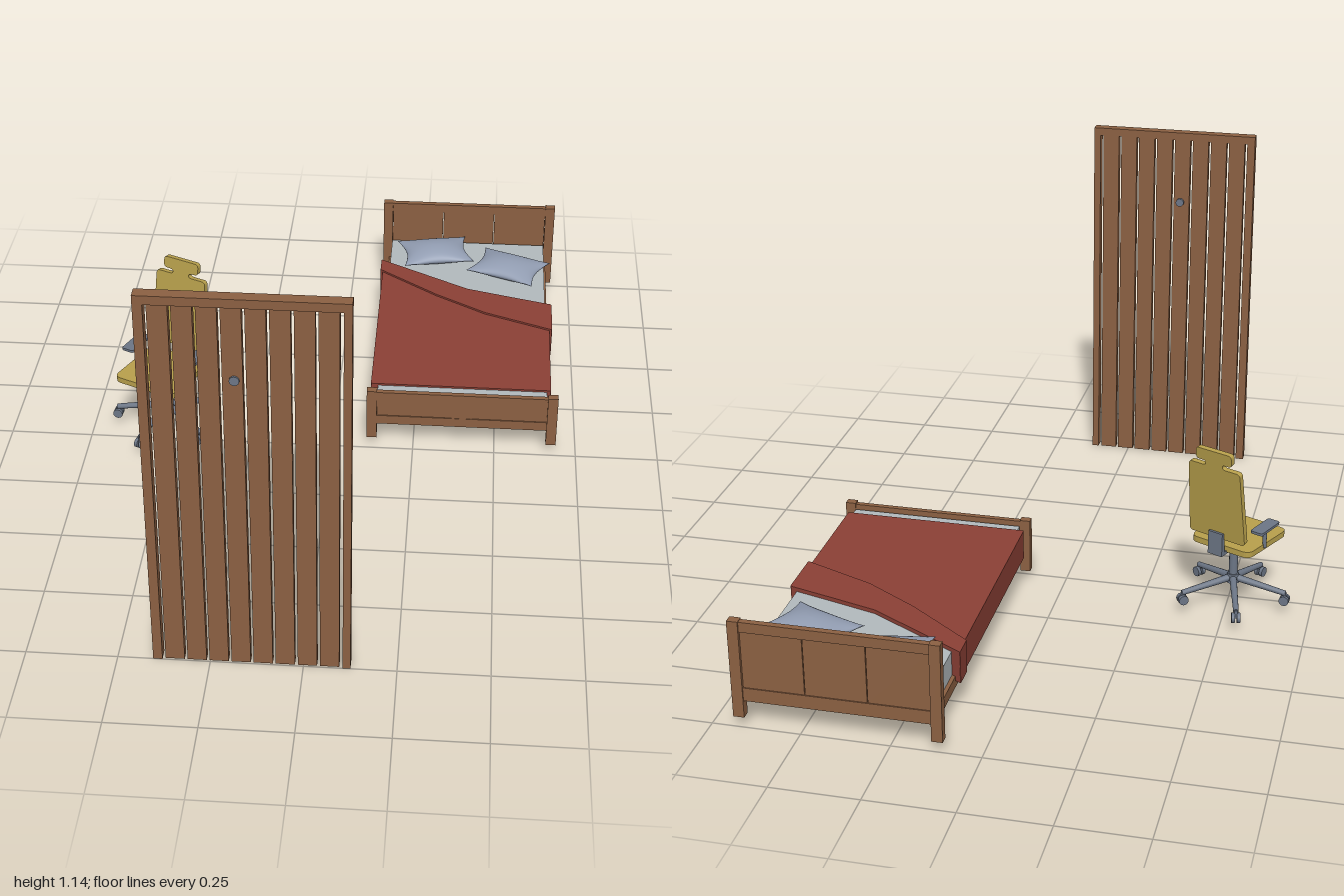
import * as THREE from 'three';

const mat = (name, color) => {
  const m = new THREE.MeshStandardMaterial({ color });
  m.name = name;
  return m;
};

export function createModel() {
  const wood = mat('wood', 0x8b6042);
  const red = mat('red blanket', 0x8b4035);
  const yellow = mat('yellow upholstery', 0xb8a04c);
  const white = mat('pale mattress', 0xb2babd);
  const grey = mat('pillow blue grey', 0x929db2);
  const metal = mat('grey metal', 0x6c7686);

  const model = new THREE.Group();
  const group = (name, parent = model) => {
    const g = new THREE.Group();
    g.name = name;
    parent.add(g);
    return g;
  };
  const add = (parent, name, geo, material) => {
    const m = new THREE.Mesh(geo, material);
    m.name = name;
    parent.add(m);
    return m;
  };
  // box given by its lower and upper limits
  const box = (parent, name, material, x0, x1, y0, y1, z0, z1) => {
    const m = add(parent, name, new THREE.BoxGeometry(x1 - x0, y1 - y0, z1 - z0), material);
    m.position.set((x0 + x1) / 2, (y0 + y1) / 2, (z0 + z1) / 2);
  };
  // closed outline with rounded corners
  const rounded = (pts, r) => {
    const s = new THREE.Shape();
    const v = pts.map(p => new THREE.Vector2(...p));
    v.forEach((p, i) => {
      const toward = q => p.clone().add(q.clone().sub(p).setLength(Math.min(r, q.distanceTo(p) * 0.45)));
      const a = toward(v[(i + v.length - 1) % v.length]);
      const b = toward(v[(i + 1) % v.length]);
      if (i) s.lineTo(a.x, a.y); else s.moveTo(a.x, a.y);
      s.quadraticCurveTo(p.x, p.y, b.x, b.y);
    });
    s.closePath();
    return s;
  };
  // horizontal slab from an outline in x and z
  const slab = (pts, r, y0, y1) => {
    const g = new THREE.ExtrudeGeometry(rounded(pts.map(([x, z]) => [x, -z]), r),
      { depth: y1 - y0, bevelEnabled: false, curveSegments: 6 });
    return g.rotateX(-Math.PI / 2).translate(0, y0, 0);
  };
  // bar between two points
  const bar = (parent, name, a, b, r0, r1, material) => {
    const d = b.clone().sub(a);
    const m = add(parent, name, new THREE.CylinderGeometry(r1, r0, d.length(), 12), material);
    m.position.copy(a).addScaledVector(d, 0.5);
    m.quaternion.setFromUnitVectors(new THREE.Vector3(0, 1, 0), d.normalize());
  };

  // ---- plank door ----
  const door = group('door');
  box(door, 'doorTopRail', wood, -0.404, 0.126, 1.12, 1.145, 0.967, 1);
  box(door, 'doorStileRight', wood, -0.404, -0.379, 0, 1.12, 0.967, 1);
  box(door, 'doorStileLeft', wood, 0.105, 0.126, 0, 1.12, 0.967, 1);
  for (let i = 0; i < 8; i++) {
    const x = -0.371 + i * 0.0593;
    box(door, 'doorPlank', wood, x, x + 0.0515, 0, 1.12, 0.97, 0.995);
  }
  const peephole = add(door, 'peephole', new THREE.CylinderGeometry(0.013, 0.013, 0.04, 20), metal);
  peephole.rotation.x = Math.PI / 2;
  peephole.position.set(-0.163, 0.91, 0.98);

  // ---- bed ----
  const bed = group('bed');
  for (const [x0, x1] of [[0.106, 0.137], [0.657, 0.688]]) {
    box(bed, 'headPost', wood, x0, x1, 0.03, 0.322, -1, -0.974);
    box(bed, 'footPost', wood, x0, x1, 0.03, 0.2, -0.036, -0.012);
  }
  for (const [x0, x1] of [[0.126, 0.137], [0.655, 0.666]])
    box(bed, 'sideRail', wood, x0, x1, 0.077, 0.11, -0.974, -0.036);
  box(bed, 'bedBase', wood, 0.137, 0.655, 0.08, 0.107, -0.974, -0.036);

  // headboard: frame with three panels
  box(bed, 'headboardTopRail', wood, 0.137, 0.657, 0.29, 0.32, -0.996, -0.978);
  box(bed, 'headboardBottomRail', wood, 0.137, 0.657, 0.08, 0.12, -0.996, -0.978);
  for (let i = 0; i < 3; i++) {
    const x = 0.137 + i * 0.1733;
    box(bed, 'headboardPanel', wood, x + 0.001, x + 0.1723, 0.12, 0.29, -0.993, -0.982);
  }

  // footboard: rails, panel and a centre block
  box(bed, 'footboardTopRail', wood, 0.137, 0.657, 0.166, 0.195, -0.032, -0.016);
  box(bed, 'footboardBottomRail', wood, 0.137, 0.657, 0.08, 0.11, -0.032, -0.016);
  box(bed, 'footboardPanel', wood, 0.137, 0.657, 0.11, 0.166, -0.03, -0.019);
  box(bed, 'footboardCentre', wood, 0.367, 0.427, 0.11, 0.166, -0.031, -0.017);

  // mattress, blanket and turned-back fold
  box(bed, 'mattress', white, 0.137, 0.655, 0.107, 0.182, -0.965, -0.04);
  add(bed, 'blanket', slab([[0.115, -0.075], [0.667, -0.075], [0.667, -0.45],
    [0.4, -0.6], [0.115, -0.75]], 0.004, 0.097, 0.188), red);
  add(bed, 'blanketFold', slab([[0.108, -0.745], [0.3, -0.6], [0.46, -0.5], [0.676, -0.412],
    [0.676, -0.565], [0.55, -0.6], [0.4, -0.643], [0.3, -0.7], [0.108, -0.81]], 0.004, 0.097, 0.194), red);

  // pillows: puffed spheres squared off in plan, with drawn-out corners
  const pillow = (name, x, z, turn) => {
    const g = new THREE.SphereGeometry(1, 40, 24);
    const p = g.attributes.position;
    for (let i = 0; i < p.count; i++) {
      const px = p.getX(i), pz = p.getZ(i);
      const k = Math.hypot(px, pz) / Math.max(Math.abs(px), Math.abs(pz), 1e-9);
      const u = px * k, w = pz * k;
      const pinch = 0.88 + 0.12 * u * u * w * w;
      const bulge = Math.pow(Math.max(0, (1 - u * u) * (1 - w * w)), 0.55);
      p.setXYZ(i, u * (pinch + 0.05 * w * w) * 0.112, Math.sign(p.getY(i)) * bulge * 0.03,
        w * (pinch + 0.05 * u * u) * 0.08);
    }
    g.computeVertexNormals();
    const m = add(bed, name, g, grey);
    m.position.set(x, 0.203, z);
    m.rotation.y = turn;
  };
  pillow('pillowRight', 0.288, -0.865, 0.2);
  pillow('pillowLeft', 0.535, -0.78, -0.39);

  // ---- swivel chair ----
  const chair = group('chair');
  chair.position.set(-0.517, 0, -0.05);
  chair.rotation.y = -0.42;
  const V = (x, y, z) => new THREE.Vector3(x, y, z);

  // five-legged base with twin casters
  bar(chair, 'column', V(0, 0.085, 0), V(0, 0.22, 0), 0.013, 0.013, metal);
  bar(chair, 'hub', V(0, 0.08, 0), V(0, 0.108, 0), 0.02, 0.017, metal);
  for (let i = 0; i < 5; i++) {
    const leg = group('baseLeg', chair);
    leg.rotation.y = i * Math.PI * 0.4;
    bar(leg, 'legBar', V(0, 0.096, 0), V(0, 0.066, 0.16), 0.011, 0.008, metal);
    bar(leg, 'casterStem', V(0, 0.045, 0.158), V(0, 0.07, 0.158), 0.005, 0.005, metal);
    for (const s of [-1, 1])
      bar(leg, 'casterWheel', V(s * 0.003, 0.045, 0.158), V(s * 0.013, 0.045, 0.158), 0.015, 0.015, metal);
  }

  // seat and its mount
  add(chair, 'seat', slab([[-0.1, -0.08], [0.1, -0.08], [0.108, 0.12], [-0.108, 0.12]],
    0.025, 0.218, 0.236), yellow);
  box(chair, 'seatMount', metal, -0.04, 0.04, 0.208, 0.218, -0.05, 0.05);

  // backrest with headrest, leaning back
  const half = [[0.094, 0], [0.086, 0.238], [0.028, 0.238], [0.028, 0.253],
    [0.06, 0.253], [0.06, 0.29]];
  const outline = [...half, ...half.map(([x, y]) => [-x, y]).reverse()];
  const back = add(chair, 'backrest', new THREE.ExtrudeGeometry(rounded(outline, 0.012),
    { depth: 0.016, bevelEnabled: false, curveSegments: 6 }), yellow);
  back.position.set(0, 0.264, -0.096);
  back.rotation.x = -0.12;
  box(chair, 'backrestBracket', metal, -0.024, 0.024, 0.215, 0.285, -0.106, -0.092);
  box(chair, 'backrestArm', metal, -0.024, 0.024, 0.212, 0.222, -0.106, 0);

  // armrests
  for (const s of [-1, 1]) {
    bar(chair, 'armPost', V(s * 0.103, 0.225, 0), V(s * 0.103, 0.288, 0), 0.006, 0.006, metal);
    const pad = add(chair, 'armPad', slab([[-0.02, -0.05], [0.02, -0.05], [0.02, 0.05],
      [-0.02, 0.05]], 0.008, 0.286, 0.294), metal);
    pad.position.x = s * 0.103;
  }
  return model;
}
